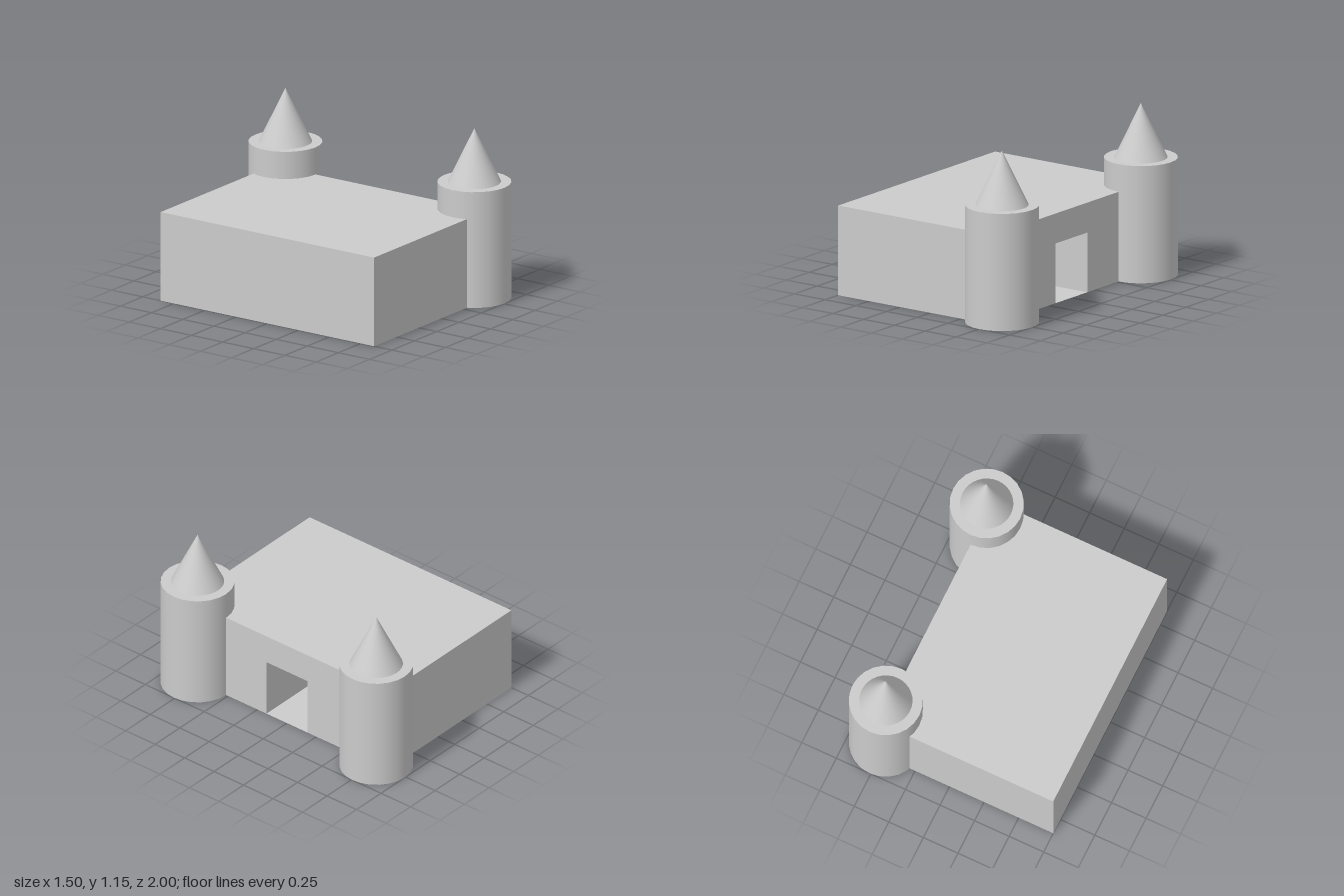
import * as THREE from 'three';

const mat = new THREE.MeshStandardMaterial({ color: 0xcccccc });
const thin = new THREE.MeshStandardMaterial({ color: 0xcccccc, side: THREE.DoubleSide });

// hall extents
const X0 = -0.75, X1 = 0.508, Z = 0.856, H = 0.605;
// door recess
const DOOR_Z = 0.174, DOOR_H = 0.403, DOOR_DEPTH = 0.545;
// towers
const TOWER_X = 0.508, TOWER_Z = 0.758, TOWER_R = 0.242, TOWER_H = 0.79;
const ROOF_R = 0.174, ROOF_H = 0.363, SIDES = 24;

function add(parent, name, geometry, material, x, y, z) {
  const mesh = new THREE.Mesh(geometry, material);
  mesh.name = name;
  mesh.position.set(x, y, z);
  parent.add(mesh);
  return mesh;
}

// flat panel turned to face a direction
function panel(parent, name, w, h, [x, y, z], rx = 0, ry = 0) {
  const geometry = new THREE.PlaneGeometry(w, h).rotateX(rx).rotateY(ry);
  return add(parent, name, geometry, thin, x, y, z);
}

// thin-walled hall, open underneath
function createHall() {
  const hall = new THREE.Group();
  hall.name = 'hall';
  const length = X1 - X0, cx = (X0 + X1) / 2;
  panel(hall, 'roofSlab', length, 2 * Z, [cx, H, 0], -Math.PI / 2);
  panel(hall, 'leftSideWall', length, H, [cx, H / 2, Z]);
  panel(hall, 'rightSideWall', length, H, [cx, H / 2, -Z], 0, Math.PI);
  panel(hall, 'rearWall', 2 * Z, H, [X0, H / 2, 0], 0, -Math.PI / 2);

  // wall with the doorway cut out of its lower edge
  const outline = new THREE.Shape([
    [-Z, 0], [-DOOR_Z, 0], [-DOOR_Z, DOOR_H], [DOOR_Z, DOOR_H],
    [DOOR_Z, 0], [Z, 0], [Z, H], [-Z, H],
  ].map(([a, b]) => new THREE.Vector2(a, b)));
  const wall = new THREE.ShapeGeometry(outline).rotateY(Math.PI / 2);
  add(hall, 'gateWall', wall, thin, X1, 0, 0);
  return hall;
}

// recessed entrance running into the hall
function createEntrance() {
  const entrance = new THREE.Group();
  entrance.name = 'entrance';
  const cx = X1 - DOOR_DEPTH / 2;
  panel(entrance, 'entranceFloor', DOOR_DEPTH, 2 * DOOR_Z, [cx, 0, 0], -Math.PI / 2);
  panel(entrance, 'entranceCeiling', DOOR_DEPTH, 2 * DOOR_Z, [cx, DOOR_H, 0], Math.PI / 2);
  panel(entrance, 'entranceSide', DOOR_DEPTH, DOOR_H, [cx, DOOR_H / 2, -DOOR_Z]);
  panel(entrance, 'entranceSide', DOOR_DEPTH, DOOR_H, [cx, DOOR_H / 2, DOOR_Z], 0, Math.PI);
  panel(entrance, 'door', 2 * DOOR_Z, DOOR_H, [X1 - DOOR_DEPTH, DOOR_H / 2, 0], 0, Math.PI / 2);
  return entrance;
}

// round tower with a smaller pointed roof
function createTower(z) {
  const tower = new THREE.Group();
  tower.name = 'tower';
  add(tower, 'towerBody', new THREE.CylinderGeometry(TOWER_R, TOWER_R, TOWER_H, SIDES), mat, 0, TOWER_H / 2, 0);
  add(tower, 'towerRoof', new THREE.ConeGeometry(ROOF_R, ROOF_H, 32, 1, true), mat, 0, TOWER_H + ROOF_H / 2, 0);
  tower.position.set(TOWER_X, 0, z);
  return tower;
}

export function createModel() {
  const model = new THREE.Group();
  model.name = 'castle';
  model.add(createHall(), createEntrance());
  for (const side of [1, -1]) model.add(createTower(side * TOWER_Z));
  return model;
}
